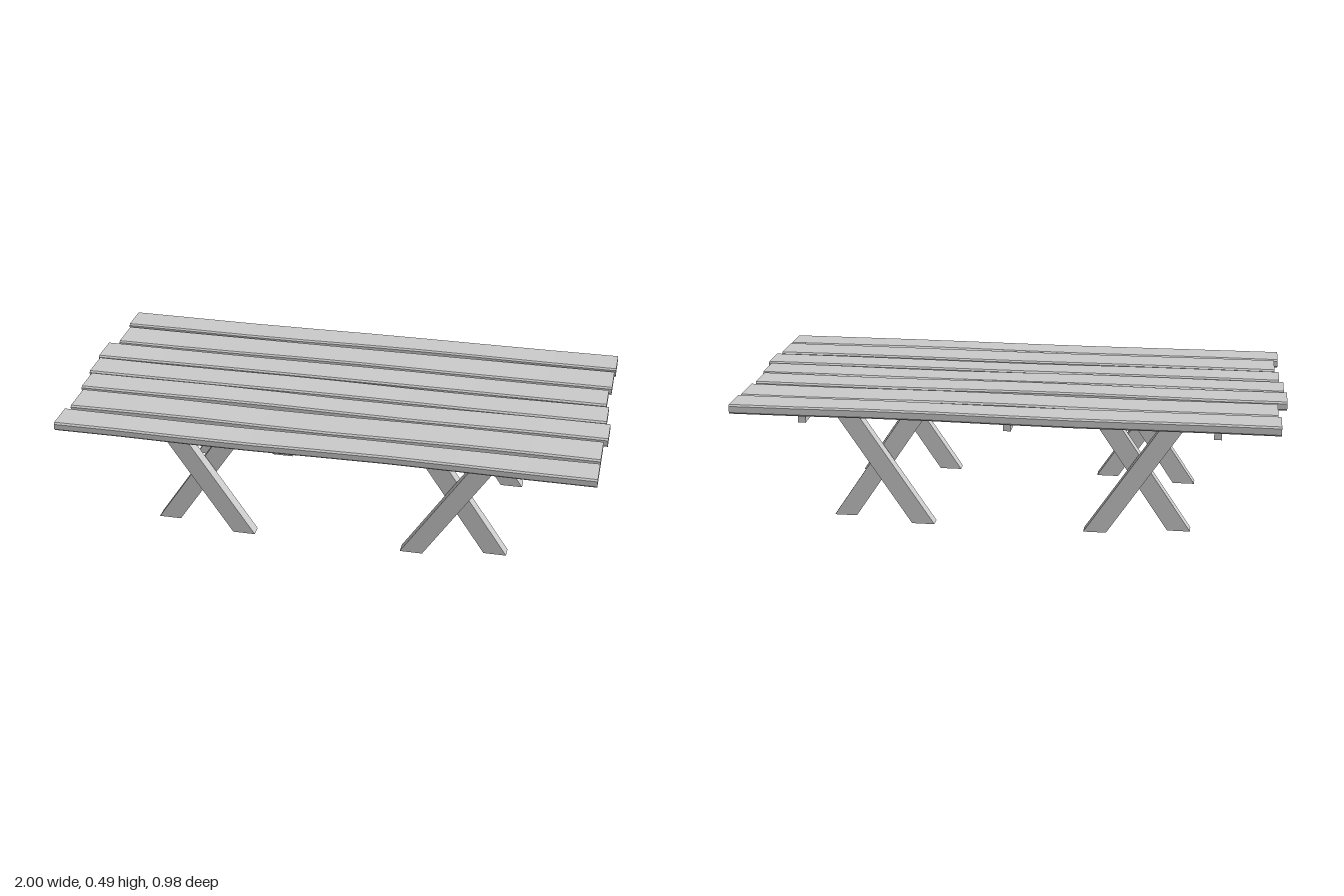
import * as THREE from 'three';

const wood = new THREE.MeshStandardMaterial({ color: 0xcccccc, flatShading: true });

function box(name, x0, x1, y0, y1, z0, z1) {
  const mesh = new THREE.Mesh(new THREE.BoxGeometry(x1 - x0, y1 - y0, z1 - z0), wood);
  mesh.position.set((x0 + x1) / 2, (y0 + y1) / 2, (z0 + z1) / 2);
  mesh.name = name;
  return mesh;
}

// Board with chamfered long edges, slightly uneven along its length
function plank(x0, x1, z0, z1, y0, y1, seed) {
  const w = (z1 - z0) / 2, h = (y1 - y0) / 2, c = 0.006;
  const shape = new THREE.Shape([
    [-w + c, -h], [w - c, -h], [w, -h + c], [w, h - c],
    [w - c, h], [-w + c, h], [-w, h - c], [-w, -h + c],
  ].map(([x, y]) => new THREE.Vector2(x, y)));
  const geo = new THREE.ExtrudeGeometry(shape, { depth: x1 - x0, steps: 8, bevelEnabled: false });
  geo.rotateY(Math.PI / 2);
  geo.translate(x0, (y0 + y1) / 2, (z0 + z1) / 2);
  const p = geo.attributes.position, mid = (z0 + z1) / 2;
  for (let i = 0; i < p.count; i++) {
    const x = p.getX(i), side = Math.sign(p.getZ(i) - mid);
    const fade = 1 - x * x; // ends stay true
    p.setZ(i, p.getZ(i) - side * fade * 0.003 * (1 + Math.sin(x * 5 + seed * 2 + side)));
    p.setY(i, p.getY(i) + fade * 0.002 * Math.sin(x * 4 + seed));
  }
  geo.computeVertexNormals();
  const mesh = new THREE.Mesh(geo, wood);
  mesh.name = 'tabletopPlank';
  return mesh;
}

// Slanted leg with level-cut ends, running from foot to top
function leg(footX, topX, z0, z1) {
  const w = 0.042, top = 0.452;
  const shape = new THREE.Shape([
    new THREE.Vector2(footX - w, 0), new THREE.Vector2(footX + w, 0),
    new THREE.Vector2(topX + w, top), new THREE.Vector2(topX - w, top),
  ]);
  const geo = new THREE.ExtrudeGeometry(shape, { depth: z1 - z0, bevelEnabled: false });
  geo.translate(0, 0, z0);
  const mesh = new THREE.Mesh(geo, wood);
  mesh.name = 'leg';
  return mesh;
}

export function createModel() {
  const table = new THREE.Group();
  table.name = 'picnicTable';

  // Tabletop: x0, x1, z0, z1, y0, y1
  const top = new THREE.Group();
  top.name = 'tabletop';
  [
    [-0.975, 0.99, -0.49, -0.366, 0.454, 0.489],
    [-0.965, 0.985, -0.354, -0.211, 0.454, 0.486],
    [-1.0, 0.975, -0.194, -0.066, 0.454, 0.487],
    [-0.99, 0.985, -0.06, 0.067, 0.454, 0.486],
    [-0.975, 1.0, 0.075, 0.197, 0.454, 0.487],
    [-0.96, 0.985, 0.213, 0.354, 0.454, 0.487],
    [-0.975, 0.985, 0.367, 0.488, 0.452, 0.484],
  ].forEach((d, i) => top.add(plank(...d, i)));
  table.add(top);

  // Cross beams under the planks
  for (const x of [-0.757, 0, 0.759]) {
    table.add(box('crossBeam', x - 0.014, x + 0.014, 0.388, 0.458, -0.357, 0.363));
  }

  // Long rails through the beams
  for (const z of [-0.2, 0.206]) {
    table.add(box('longRail', -0.8, 0.808, 0.409, 0.45, z - 0.015, z + 0.015));
  }

  // Crossed leg pairs at the four corners, mirrored both ways
  for (const sx of [-1, 1]) {
    for (const sz of [-1, 1]) {
      const pair = new THREE.Group();
      pair.name = 'crossedLegs';
      const span = (a, b) => (sz > 0 ? [a, b] : [-b, -a]);
      pair.add(leg(sx * 0.32, sx * 0.622, ...span(0.282, 0.326)));
      pair.add(leg(sx * 0.626, sx * 0.324, ...span(0.231, 0.275)));
      table.add(pair);
    }
  }
  return table;
}
